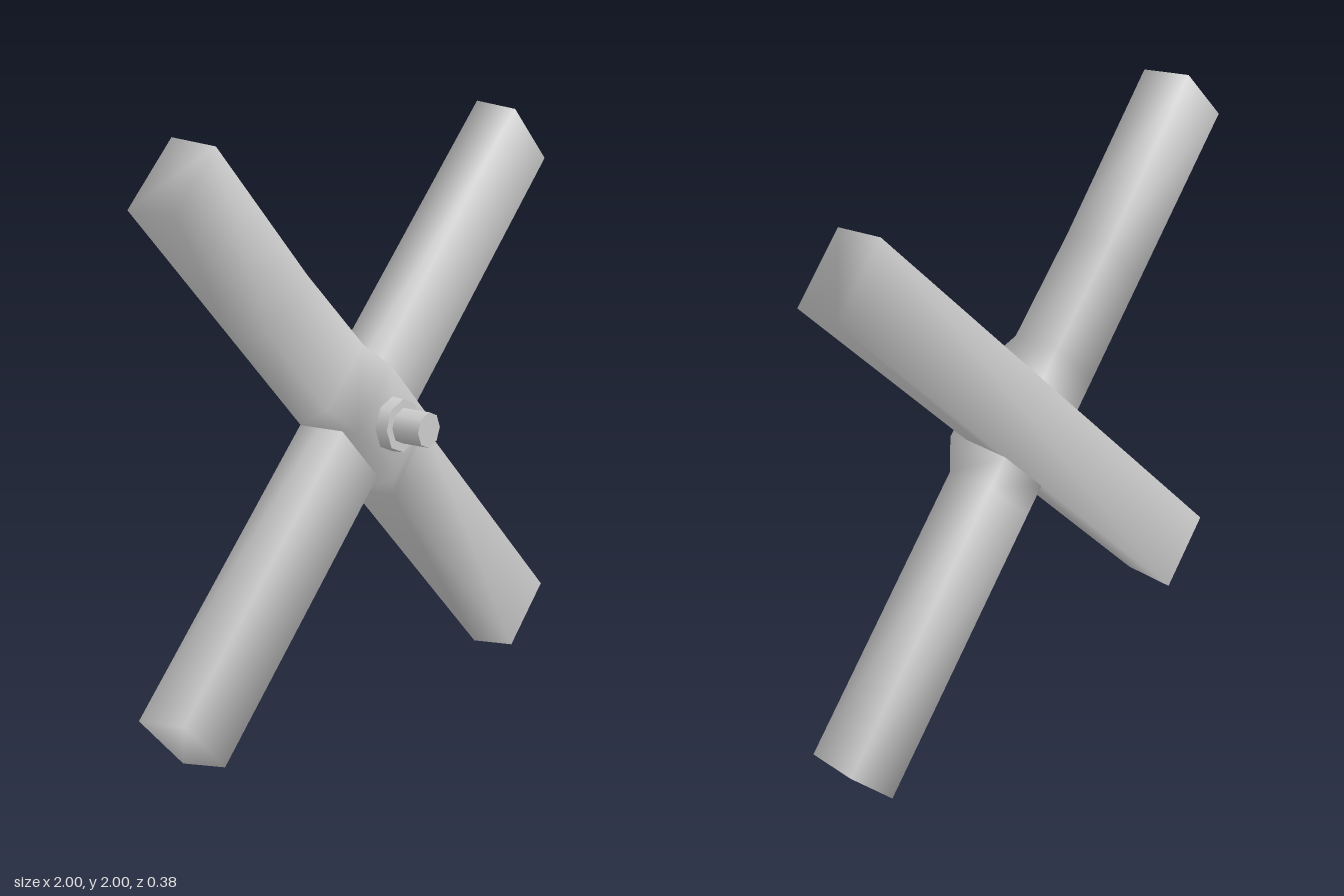
import * as THREE from 'three';

const material = new THREE.MeshStandardMaterial({ color: 0xcccccc });

// Loft four-cornered sections along x; shared vertices keep the edges softly shaded.
// Section: [x at back, x at front, z at back, z at front, half width of upper edge]
function loftBar(sections, half = 0.141) {
  const pos = [], index = [];
  for (const [xb, xf, zb, zf, up = half] of sections) {
    pos.push(xb, -half, zb, xb, up, zb, xf, up - 0.006, zf, xf, -half + 0.01, zf);
  }
  const n = sections.length;
  for (let i = 0; i < n - 1; i++) {
    for (let j = 0; j < 4; j++) {
      const a = i * 4 + j, b = i * 4 + (j + 1) % 4;
      index.push(a, b, b + 4, a, b + 4, a + 4);
    }
  }
  const e = (n - 1) * 4;
  index.push(0, 2, 1, 0, 3, 2, e, e + 1, e + 2, e, e + 2, e + 3);
  const geo = new THREE.BufferGeometry();
  geo.setAttribute('position', new THREE.Float32BufferAttribute(pos, 3));
  geo.setIndex(index);
  geo.computeVertexNormals();
  return geo;
}

export function createModel() {
  const group = new THREE.Group();
  const add = (name, geo, z = 0) => {
    const mesh = new THREE.Mesh(geo, material);
    mesh.name = name;
    mesh.position.set(0, 1, z);
    group.add(mesh);
    return mesh;
  };

  // Main blade pair, with a shallow notch and a raised hub in the middle
  const zb = -0.188, zf = -0.018;
  add('mainBlade', loftBar([
    [-1.273, -1.255, zb, zf],
    [-0.64, -0.64, zb, zf, 0.128],
    [-0.25, -0.25, zb, zf],
    [-0.14, -0.14, zb, 0.04],
    [0.14, 0.14, zb, 0.04],
    [0.25, 0.25, zb, zf],
    [1.273, 1.255, zb, zf],
  ])).rotation.z = -Math.PI / 4;

  // Crossing blade pair
  add('crossBlade', loftBar([
    [-1.273, -1.25, -0.19, -0.02],
    [1.26, 1.24, -0.19, -0.02],
  ])).rotation.z = Math.PI / 4;

  // Nut and axle on the hub
  add('nut', new THREE.CylinderGeometry(0.09, 0.093, 0.05, 8).rotateX(Math.PI / 2), 0.06);
  add('axle', new THREE.CylinderGeometry(0.06, 0.06, 0.16, 8).rotateX(Math.PI / 2), 0.11);

  return group;
}
